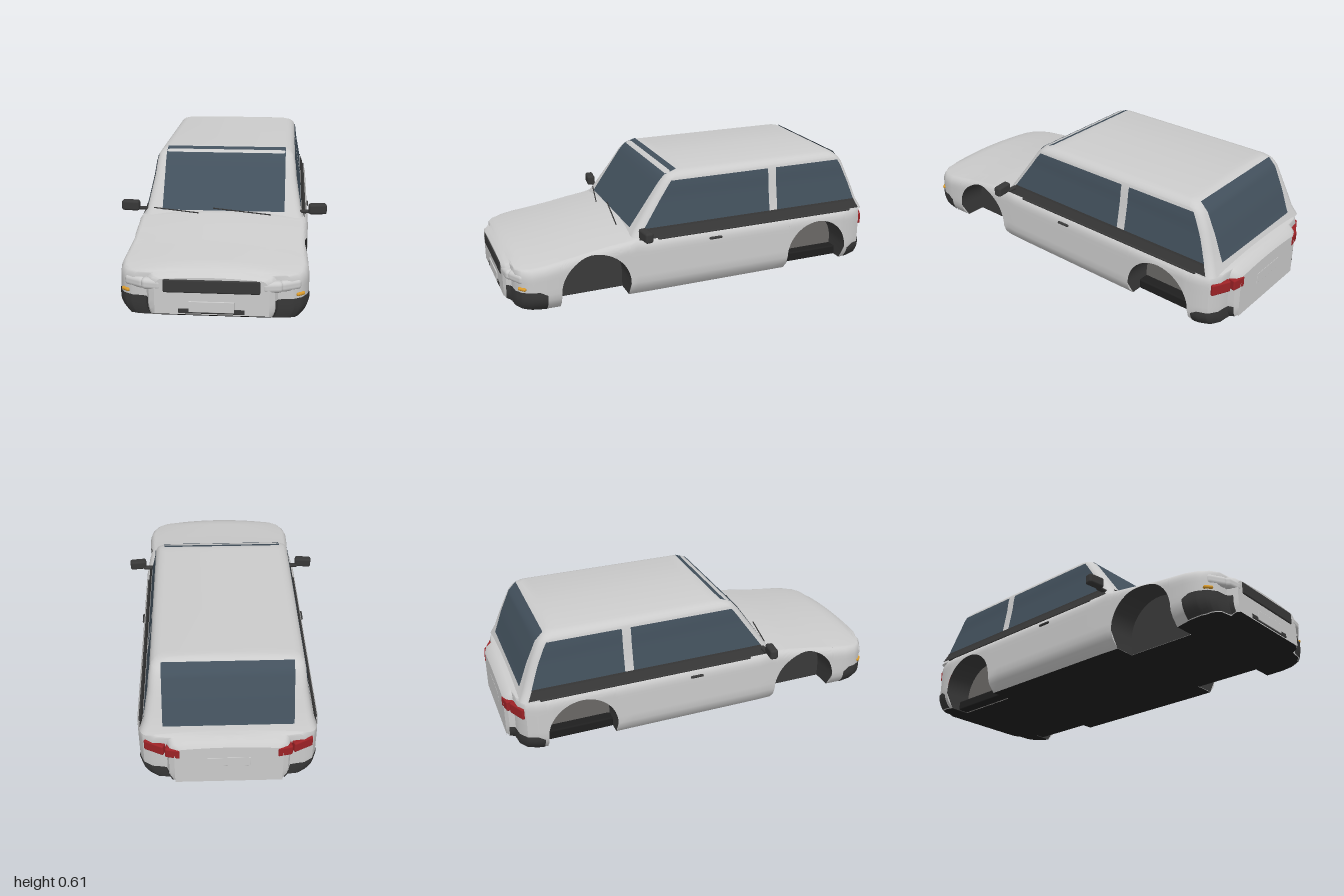
import * as THREE from 'three';
import { toCreasedNormals } from 'three/addons/utils/BufferGeometryUtils.js';
import { RoundedBoxGeometry } from 'three/addons/geometries/RoundedBoxGeometry.js';

const mat = (color) => new THREE.MeshStandardMaterial({ color, side: THREE.DoubleSide });
const PAINT = mat(0xcccccc), GLASS = mat(0x43515d), TRIM = mat(0x383838), UNDER = mat(0x1f1f1f);
const WELL = mat(0x3a3a3a), REARWELL = mat(0x6a6866), RED = mat(0x9c2226), AMBER = mat(0xd99a2b);
const LAMP = mat(0xc0c0c0);
const { lerp } = THREE.MathUtils;

// Linear lookup in a short table of [key, value] pairs with rising keys
function look(table, k) {
  if (k <= table[0][0]) return table[0][1];
  for (let i = 1; i < table.length; i++) {
    const [a, va] = table[i - 1], [b, vb] = table[i];
    if (k <= b) return lerp(va, vb, (k - a) / (b - a));
  }
  return table[table.length - 1][1];
}

// Smooth surface through a grid of points, point(i, j) for i <= nu and j <= nv
function grid(nu, nv, point) {
  const pos = [], idx = [];
  for (let i = 0; i <= nu; i++) for (let j = 0; j <= nv; j++) pos.push(...point(i, j));
  for (let i = 0; i < nu; i++) for (let j = 0; j < nv; j++) {
    const a = i * (nv + 1) + j, b = a + nv + 1;
    idx.push(a, b, a + 1, b, b + 1, a + 1);
  }
  const g = new THREE.BufferGeometry();
  g.setAttribute('position', new THREE.Float32BufferAttribute(pos, 3));
  g.setIndex(idx);
  return toCreasedNormals(g, 0.6);
}

// Lower body: half width, crown height, crown drop and floor height along z
const WIDTH = [[-1, 0.25], [-0.985, 0.275], [-0.957, 0.285], [-0.95, 0.35], [-0.92, 0.395], [-0.87, 0.415],
  [-0.8, 0.425], [0.3, 0.425], [0.6, 0.416], [0.82, 0.425], [0.88, 0.415], [0.925, 0.39], [0.95, 0.35],
  [0.957, 0.288], [0.98, 0.275], [0.992, 0.25]];
const TOP = [[-1, 0.265], [-0.985, 0.285], [-0.96, 0.3], [-0.9, 0.31], [0.3, 0.312], [0.36, 0.335], [0.5, 0.318],
  [0.7, 0.288], [0.9, 0.262], [0.95, 0.248], [0.975, 0.235], [0.992, 0.222]];
const DROP = [[0.3, 0.01], [0.38, 0.03], [0.9, 0.032], [0.992, 0.01]];
const FLOOR = [[-1, 0.038], [-0.95, 0.025], [-0.82, 0.008], [0.75, 0.006], [0.9, 0.018], [0.96, 0.032], [0.992, 0.05]];
const ARCHES = [{ z: 0.57, name: 'front' }, { z: -0.65, name: 'rear' }];
const R = 0.175, ARCH_Y = 0.087, INNER = 0.27;

const shoulder = (z) => look(TOP, z) - look(DROP, z);
function sideX(y, z) {
  const low = Math.max(0, (0.09 - y) / 0.09);
  const k = THREE.MathUtils.clamp((y - shoulder(z) + 0.05) / 0.05, 0, 1);
  return look(WIDTH, z) - 0.055 * low * low - 0.032 * (1 - Math.sqrt(1 - k * k));
}

// Stations along z; the skin's lower edge follows the wheel arches
function stations() {
  const list = [];
  const inArch = (z) => ARCHES.some((a) => Math.abs(z - a.z) < R + 1e-4);
  const keys = new Set([...WIDTH, ...TOP, ...FLOOR].map((p) => p[0]));
  for (let z = -0.4; z < 0.36; z += 0.1) keys.add(z);
  for (const z of keys) if (!inArch(z)) list.push({ z, b: look(FLOOR, z), u: 0 });
  for (const a of ARCHES) {
    for (let i = 0; i <= 24; i++) {
      const t = Math.PI * (1 - i / 24), z = a.z + R * Math.cos(t);
      list.push({ z, b: ARCH_Y + R * Math.sin(t), u: INNER });
    }
    for (const s of [-1, 1]) {
      const z = a.z + s * (R + 1e-5);
      list.push({ z, b: look(FLOOR, z), u: 0 });
    }
  }
  return list.sort((p, q) => p.z - q.z);
}

const SIDE = 12, CROWN = 6, HALF = SIDE + CROWN;
function skinPoint({ z, b }, j) {
  const s = j > HALF ? -1 : 1, k = j > HALF ? 2 * HALF - j : j;
  const h = shoulder(z);
  if (k <= SIDE) {
    const y = lerp(b, h, Math.sin((k / SIDE) * Math.PI / 2));
    return [s * sideX(y, z), y, z];
  }
  const f = 1 - (k - SIDE) / CROWN;
  return [s * f * sideX(h, z), look(TOP, z) - look(DROP, z) * f * f, z];
}

// Cabin: half width, windscreen line and tailgate line by height
const CABX = [[0.29, 0.405], [0.34, 0.386], [0.48, 0.361], [0.55, 0.354], [0.58, 0.346], [0.598, 0.328], [0.607, 0.3]];
const FRONTZ = [[0.29, 0.39], [0.34, 0.355], [0.56, 0.2], [0.595, 0.165], [0.607, 0.11]];
const REARZ = [[0.29, -0.94], [0.34, -0.915], [0.45, -0.875], [0.56, -0.825], [0.595, -0.79], [0.607, -0.765]];
const LEVELS = [0.29, 0.34, 0.4, 0.48, 0.55, 0.57, 0.58, 0.59, 0.598, 0.603, 0.607];
function cabinPoint(i, j) {
  const y = LEVELS[Math.min(j, LEVELS.length - 1)], r = 0.04;
  const q = Math.floor((i % 24) / 6), a = (q + ((i % 24) % 6) / 5) * Math.PI / 2;
  const sx = q === 0 || q === 3 ? 1 : -1;
  const x = sx * (look(CABX, y) - r) + r * Math.cos(a);
  const z = (q < 2 ? look(FRONTZ, y) - r : look(REARZ, y) + r) + r * Math.sin(a);
  return j < LEVELS.length ? [x, y, z] : [0, 0.612, lerp(z, -0.33, 0.05)];
}

export function createModel() {
  const car = new THREE.Group();
  car.name = 'stationWagon';
  const add = (name, geo, material) => {
    const m = new THREE.Mesh(geo, material);
    m.name = name;
    car.add(m);
    return m;
  };
  const box = (name, size, at, material, ry = 0, r = 0.008) => {
    const m = add(name, new RoundedBoxGeometry(...size, 3, Math.min(r, Math.min(...size) / 2.1)), material);
    m.position.set(...at);
    m.rotation.y = ry;
    return m;
  };

  // Body shell, end faces and underside
  const st = stations(), last = st.length - 1;
  add('bodyShell', grid(last, 2 * HALF, (i, j) => skinPoint(st[i], j)), PAINT);
  [['rearFace', 0], ['frontFace', last]].forEach(([name, i]) => {
    add(name, grid(2 * HALF, 1, (j, v) => {
      const p = skinPoint(st[i], j);
      return v ? [p[0], st[i].b, p[2]] : p;
    }), PAINT);
  });
  add('underside', grid(last, 1, (i, j) => {
    const { z, u } = st[i], y = look(FLOOR, z);
    return [(j ? -1 : 1) * (u || sideX(y, z)), y, z];
  }), UNDER);

  // Cabin with roof
  add('cabin', grid(24, LEVELS.length, cabinPoint), PAINT);
  const endGlass = (name, half, y0, y1, table, off) => add(name, grid(14, 1, (i, j) => {
    const y = lerp(y0, y1, i / 14);
    return [j ? half : -half, y + (y > 0.59 ? 0.003 : 0), look(table, y) + off];
  }), GLASS);
  endGlass('windscreen', 0.306, 0.335, 0.607, FRONTZ, 0.004);
  endGlass('rearWindow', 0.3, 0.33, 0.597, REARZ, -0.004);

  for (const s of [1, -1]) {
    const tag = s > 0 ? 'left' : 'right';

    // Side glass and belt trim, following the cabin wall
    const sidePatch = (name, y0, y1, z0, z1, off, material) => add(tag + name, grid(8, 1, (i, j) => {
      const y = lerp(y0, y1, i / 8);
      return [s * (look(CABX, y) + off), y, (j ? z1 : z0)(y)];
    }), material);
    const front = (y) => look(FRONTZ, y) - 0.034, rear = (y) => look(REARZ, y) + 0.03;
    sidePatch('FrontWindow', 0.345, 0.567, front, () => -0.375, 0.003, GLASS);
    sidePatch('RearWindow', 0.345, 0.567, () => -0.42, rear, 0.003, GLASS);
    sidePatch('BeltTrim', 0.3, 0.35, front, rear, 0.006, TRIM);
    box(tag + 'BeltLine', [0.012, 0.01, 1.1], [s * 0.408, 0.296, -0.3], TRIM);

    // Wheel wells: arched liner and inner wall
    for (const a of ARCHES) {
      const path = [[a.z - R, 0.008]];
      for (let i = 0; i <= 24; i++) {
        const t = Math.PI * (1 - i / 24);
        path.push([a.z + R * Math.cos(t), ARCH_Y + R * Math.sin(t)]);
      }
      path.push([a.z + R, 0.008]);
      const label = tag + (a.name === 'front' ? 'Front' : 'Rear');
      add(label + 'WheelLiner', grid(path.length - 1, 1, (i, j) => {
        const [z, y] = path[i];
        return [s * (j ? sideX(y, z) - 0.001 : INNER), y, z];
      }), WELL);
      const wall = new THREE.ShapeGeometry(new THREE.Shape(path.map(([z, y]) => new THREE.Vector2(-z, y))));
      wall.rotateY(Math.PI / 2);
      add(label + 'WellWall', wall, a.name === 'front' ? WELL : REARWELL).position.x = s * INNER;
    }
    box(tag + 'RearWellLedge', [0.06, 0.05, 2 * R], [s * 0.3, 0.034, -0.65], UNDER);

    // Dark bumper corners wrapped over the body
    for (const [name, y1, za, zb] of [['FrontBumperCorner', 0.12, 0.81, 0.98], ['RearBumperCorner', 0.1, -0.84, -0.985]]) {
      const e = Math.sign(za) * 0.003;
      add(tag + name, grid(28, 6, (i, j) => {
        const z = lerp(za, zb, i / 28);
        const y = lerp(look(FLOOR, z) + 0.002, y1 - 0.02 * Math.max(0, 1 - i / 6), j / 6);
        return [s * (sideX(y, z) + 0.003), y, z + e];
      }), TRIM);
    }

    // Lamps
    box(tag + 'InnerHeadlamp', [0.095, 0.052, 0.05], [s * 0.262, 0.18, 0.965], LAMP, s * 0.15, 0.02);
    box(tag + 'OuterHeadlamp', [0.105, 0.052, 0.05], [s * 0.338, 0.18, 0.932], LAMP, s * 0.5, 0.02);
    box(tag + 'Indicator', [0.045, 0.016, 0.03], [s * 0.382, 0.136, 0.922], AMBER, s * 0.7);
    box(tag + 'InnerTailLamp', [0.07, 0.055, 0.04], [s * 0.255, 0.225, -0.978], RED, -s * 0.2);
    box(tag + 'OuterTailLamp', [0.1, 0.058, 0.04], [s * 0.338, 0.225, -0.94], RED, -s * 0.45);

    // Door mirror and handle
    box(tag + 'Mirror', [0.09, 0.052, 0.042], [s * 0.47, 0.348, 0.335], TRIM, s * 0.12, 0.012);
    box(tag + 'MirrorArm', [0.07, 0.016, 0.025], [s * 0.405, 0.33, 0.325], TRIM);
    box(tag + 'DoorHandle', [0.016, 0.013, 0.07], [s * 0.424, 0.262, -0.055], TRIM);
  }

  // Nose and tail details
  box('grille', [0.425, 0.062, 0.02], [0, 0.181, 0.987], TRIM);
  box('frontPlate', [0.2, 0.05, 0.008], [0, 0.087, 0.993], PAINT, 0, 0.002);
  box('lowerIntake', [0.29, 0.022, 0.006], [0, 0.066, 0.992], TRIM, 0, 0.003);
  box('rearPlate', [0.2, 0.055, 0.006], [0, 0.17, -0.998], PAINT, 0, 0.002);

  // Wipers
  for (const [a, b] of [[[-0.35, 0.342, 0.355], [-0.12, 0.334, 0.405]], [[-0.05, 0.348, 0.365], [0.24, 0.333, 0.41]]]) {
    const line = new THREE.LineCurve3(new THREE.Vector3(...a), new THREE.Vector3(...b));
    add('wiper', new THREE.TubeGeometry(line, 1, 0.003, 6), TRIM);
  }
  return car;
}
